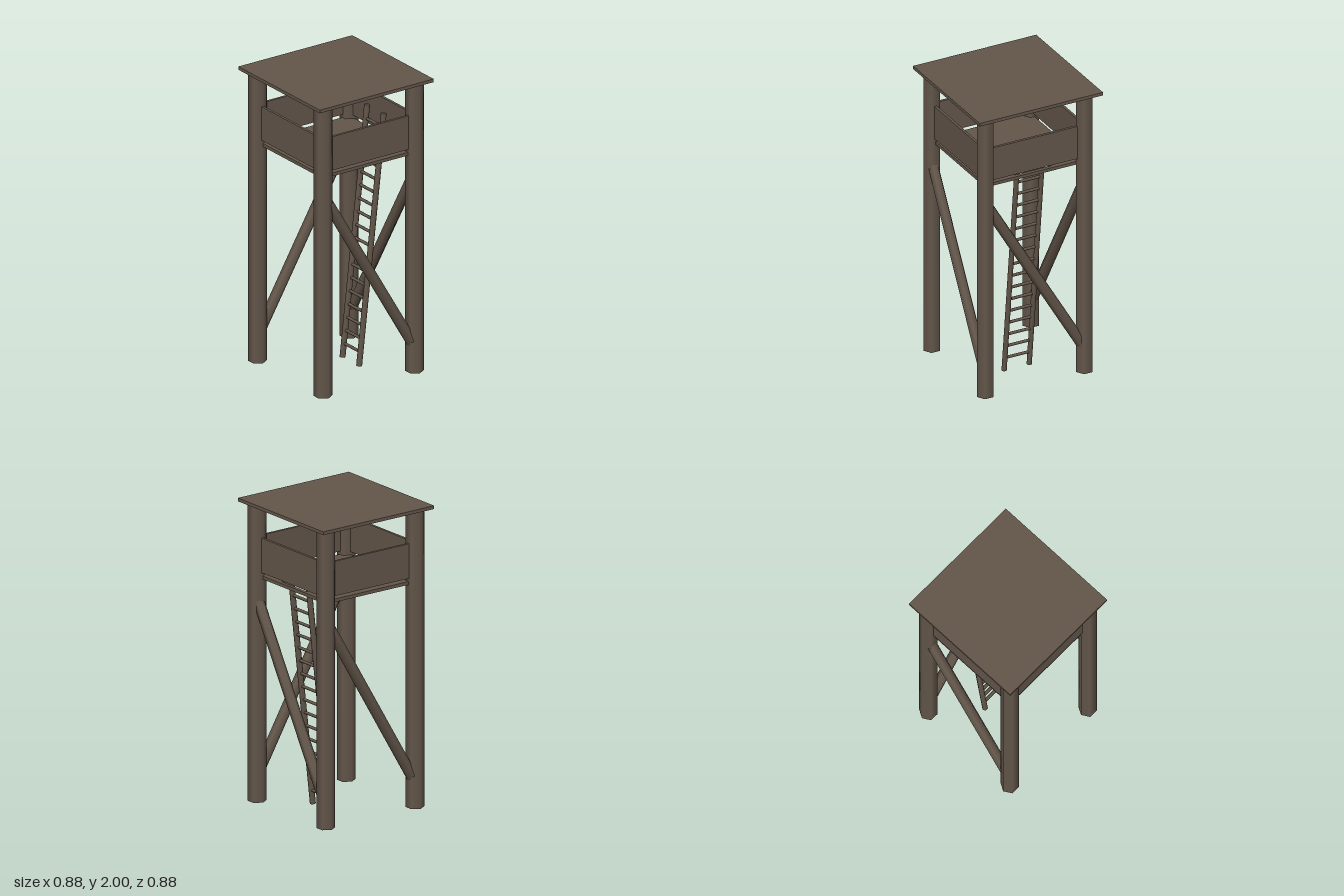
import * as THREE from 'three';

const SIDES = 6;
const POST = 0.355; // post centre distance from the axes

export function createModel() {
  const wood = new THREE.MeshStandardMaterial({ color: 0x64574b });
  wood.name = 'weathered wood';
  const tower = new THREE.Group();
  tower.name = 'watchtower';

  const add = (geometry, name, parent = tower) => {
    const mesh = new THREE.Mesh(geometry, wood);
    mesh.name = name;
    parent.add(mesh);
    return mesh;
  };
  const box = (name, w, h, d, x, y, z) =>
    add(new THREE.BoxGeometry(w, h, d), name).position.set(x, y, z);

  // Six-sided pole running between two points
  const pole = (name, from, to, radius, parent) => {
    const a = new THREE.Vector3(...from);
    const b = new THREE.Vector3(...to);
    const dir = b.clone().sub(a);
    const geometry = new THREE.CylinderGeometry(radius, radius, dir.length(), SIDES);
    geometry.rotateY(Math.PI / 6);
    const mesh = add(geometry, name, parent);
    mesh.position.copy(a).add(b).multiplyScalar(0.5);
    mesh.quaternion.setFromUnitVectors(new THREE.Vector3(0, 1, 0), dir.normalize());
  };

  // Corner posts
  for (const x of [-POST, POST])
    for (const z of [-POST, POST])
      pole('cornerPost', [x, 0, z], [x, 1.985, z], 0.06);

  // Diagonal braces on the two sides and the back; the front stays open
  const low = 0.16, high = 1.365, out = 0.36;
  pole('leftBrace', [out, low, -POST], [out, high, POST], 0.036);
  pole('rightBrace', [-out, low, POST], [-out, high, -POST], 0.036);
  pole('backBrace', [-POST, low, -out], [POST, high, -out], 0.036);

  // Roof slab
  box('roof', 0.884, 0.022, 0.884, 0, 1.989, 0);

  // Parapet walls around the platform
  const wallHeight = 0.23, wallY = 1.64, thick = 0.018;
  for (const s of [-1, 1]) {
    box(s > 0 ? 'frontWall' : 'backWall', 2 * POST, wallHeight, thick, 0, wallY, s * POST);
    box(s > 0 ? 'leftWall' : 'rightWall', thick, wallHeight, 2 * POST, s * POST, wallY, 0);
  }

  // Platform floor with a hatch for the ladder (shape y becomes -z)
  const rect = (Type, x0, y0, x1, y1) =>
    new Type([[x0, y0], [x1, y0], [x1, y1], [x0, y1]].map((p) => new THREE.Vector2(...p)));
  const floorShape = rect(THREE.Shape, -POST, -POST, POST, POST);
  floorShape.holes.push(rect(THREE.Path, -0.13, 0.2, 0.13, 0.33));
  const floor = new THREE.ExtrudeGeometry(floorShape, { depth: 0.022, bevelEnabled: false });
  floor.rotateX(-Math.PI / 2);
  add(floor, 'floor').position.y = 1.48;

  // Leaning ladder rising through the hatch
  const ladder = new THREE.Group();
  ladder.name = 'ladder';
  tower.add(ladder);
  const ladderZ = (y) => -0.115 - 0.1135 * y;
  const railX = 0.09, railTop = 1.68;
  for (const x of [-railX, railX])
    pole('ladderRail', [x, 0, ladderZ(0)], [x, railTop, ladderZ(railTop)], 0.019, ladder);
  for (let i = 0; i < 18; i++) {
    const y = 0.092 + i * 0.0881;
    pole('ladderRung', [-railX, y, ladderZ(y)], [railX, y, ladderZ(y)], 0.011, ladder);
  }

  return tower;
}
